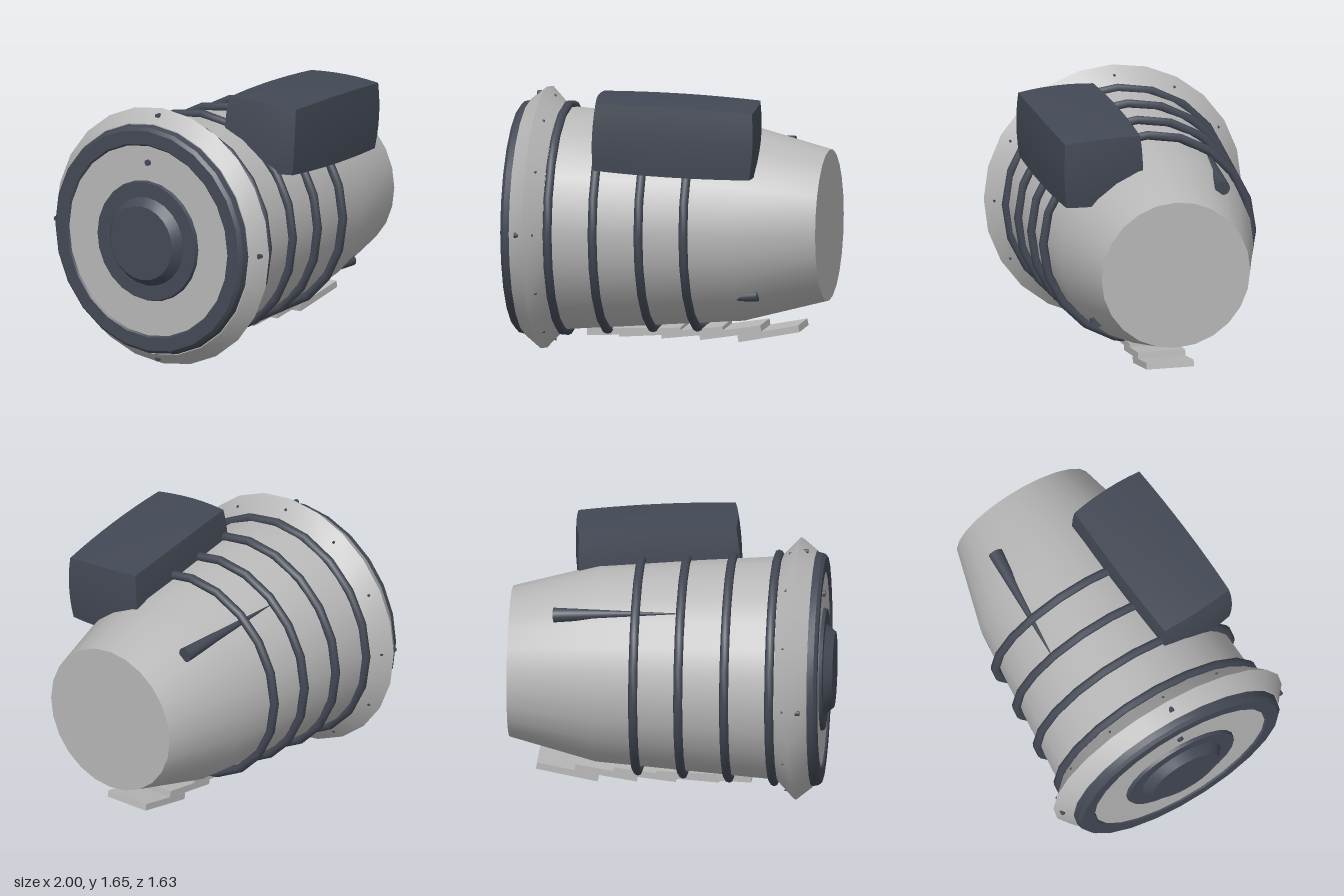
import * as THREE from 'three';
import { toCreasedNormals } from 'three/addons/utils/BufferGeometryUtils.js';

const AXIS_Y = 0.815;

export function createModel() {
  const group = new THREE.Group();
  const shell = new THREE.MeshStandardMaterial({ color: 0xb8b8b8 });
  shell.name = 'light grey shell';
  const dark = new THREE.MeshStandardMaterial({ color: 0x434955 });
  dark.name = 'dark slate';

  function add(name, geometry, material) {
    const mesh = new THREE.Mesh(geometry, material);
    mesh.name = name;
    group.add(mesh);
    return mesh;
  }

  // Turned part along the x axis; profile is [x, radius], from -x to +x
  function turned(name, profile, material, sides = 24) {
    const points = profile.map(([x, r]) => new THREE.Vector2(r, x));
    const geo = toCreasedNormals(new THREE.LatheGeometry(points, sides), 0.45);
    geo.rotateZ(-Math.PI / 2);
    geo.translate(0, AXIS_Y, 0);
    return add(name, geo, material);
  }

  // Cone lying between two points, wide at the end
  function horn(name, tip, end, radius) {
    const a = new THREE.Vector3(...tip), b = new THREE.Vector3(...end);
    const dir = b.clone().sub(a);
    const mesh = add(name, new THREE.CylinderGeometry(radius, 0.001, dir.length(), 12), dark);
    mesh.position.copy(a).add(b).multiplyScalar(0.5);
    mesh.quaternion.setFromUnitVectors(new THREE.Vector3(0, 1, 0), dir.normalize());
  }

  // Main tapered drum and its wide collar
  turned('body', [[-0.8, 0], [-0.8, 0.705], [-0.67, 0.695], [0.47, 0.61], [1, 0.47], [1, 0]], shell);
  turned('collar', [[-0.925, 0], [-0.925, 0.63], [-0.875, 0.64], [-0.875, 0.735],
    [-0.775, 0.815], [-0.67, 0.705], [-0.67, 0.6]], shell);

  // Rear rim and stepped hub
  turned('rearRim', [[-0.92, 0.6], [-0.935, 0.615], [-0.935, 0.7], [-0.915, 0.72],
    [-0.87, 0.73], [-0.87, 0.6]], dark);
  turned('hubPlate', [[-0.945, 0], [-0.945, 0.375], [-0.92, 0.385]], dark);
  turned('hubBoss', [[-1, 0], [-1, 0.235], [-0.94, 0.285]], dark);

  // Raised hoops round the drum
  [[-0.64, 0.704], [-0.36, 0.69], [-0.075, 0.672], [0.205, 0.66]].forEach(([x, r], i) => {
    const hoop = add('hoop' + (i + 1), new THREE.TorusGeometry(r, 0.028, 8, 20), dark);
    hoop.rotation.y = Math.PI / 2;
    hoop.position.set(x, AXIS_Y, 0);
  });

  // Small bolts on both slopes of the collar
  function bolt(name, x, r, angle, size) {
    const mesh = add(name, new THREE.CylinderGeometry(size, size, 0.03, 8), dark);
    mesh.rotation.z = -Math.PI / 2;
    mesh.position.set(x, AXIS_Y + r * Math.cos(angle), r * Math.sin(angle));
  }
  for (let i = 0; i < 12; i++) bolt('collarBolt', -0.732, 0.76, i * Math.PI / 6, 0.008);
  for (let i = 0; i < 4; i++) bolt('rearBolt', -0.82, 0.775, i * Math.PI / 2, 0.016);
  bolt('discBolt', -0.925, 0.5, 0, 0.02);

  // Side pod: a box with gently bulging faces
  const size = [0.97, 0.415, 0.485];
  const podGeo = new THREE.BoxGeometry(...size, 8, 6, 6);
  const pos = podGeo.attributes.position;
  for (let i = 0; i < pos.count; i++) {
    const p = [pos.getX(i), pos.getY(i), pos.getZ(i)];
    const n = p.map((v, k) => v / size[k] * 2);
    const bulge = [0.028, 0.022, 0.022];
    const q = p.map((v, k) => {
      const a = n[(k + 1) % 3], b = n[(k + 2) % 3];
      return v + n[k] * bulge[k] * (1 - (a * a + b * b) / 2);
    });
    pos.setXYZ(i, ...q);
  }
  podGeo.computeVertexNormals();
  const pod = add('sidePod', podGeo, dark);
  pod.position.set(0.118, 1.41, 0.41);
  pod.rotation.set(0.03, 0.08, -0.05);

  // Half-sunk horns
  horn('upperHorn', [-0.08, 1.315, -0.41], [0.715, 1.265, -0.36], 0.047);
  horn('lowerHorn', [0.2, 0.385, 0.405], [0.63, 0.425, 0.415], 0.036);

  // Overlapping plates along the underside
  [[-0.3, 0.137, 2], [-0.1, 0.138, 4], [0.165, 0.143, 6.5],
    [0.405, 0.148, 9], [0.645, 0.148, 11]].forEach(([x, y, deg], i) => {
    const plate = add('bellyPlate' + (i + 1), new THREE.BoxGeometry(0.39, 0.042, 0.3), shell);
    plate.position.set(x, y, 0);
    plate.rotation.z = THREE.MathUtils.degToRad(deg);
  });

  return group;
}
